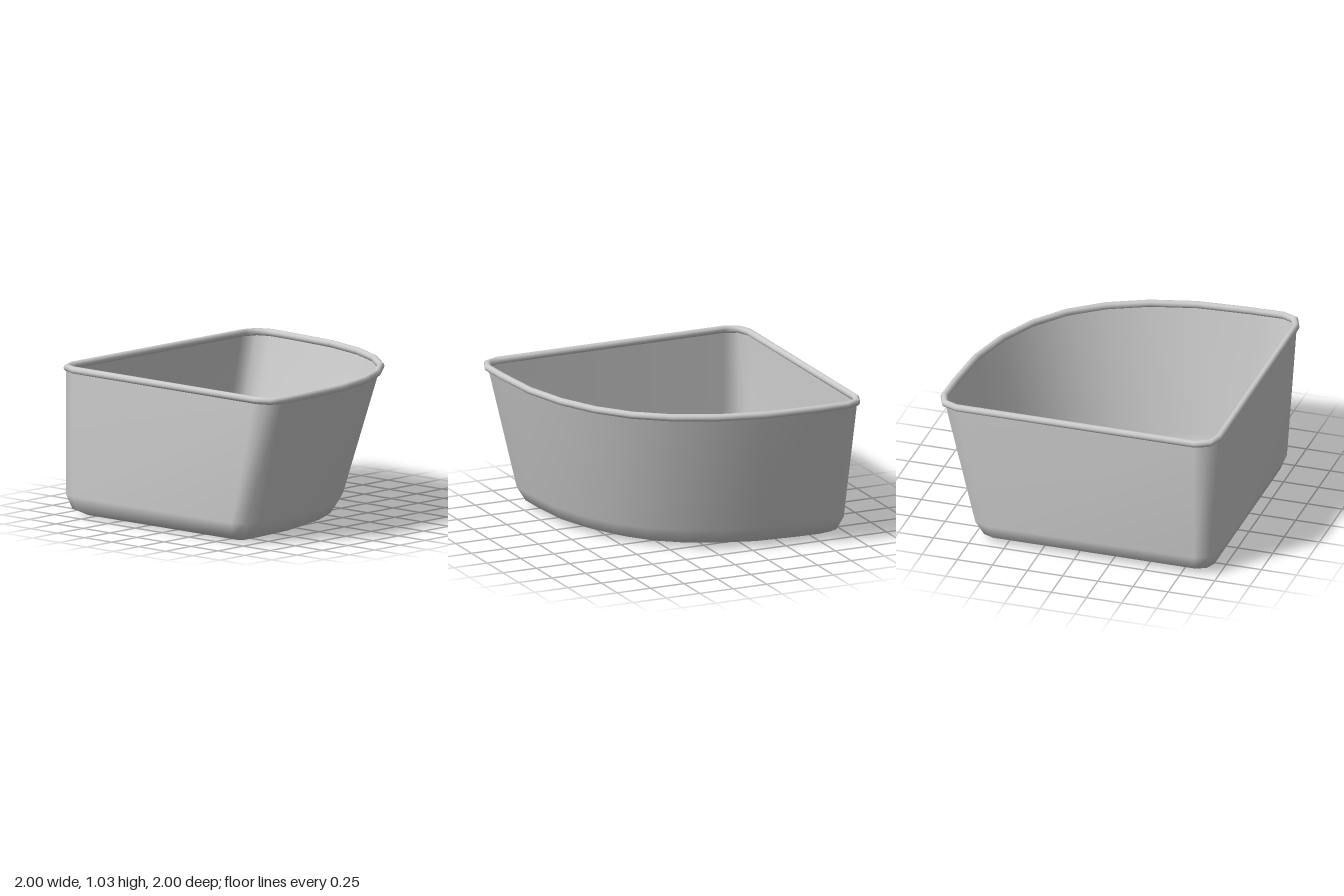
import * as THREE from 'three';

const material = new THREE.MeshStandardMaterial({ color: 0xcccccc, side: THREE.DoubleSide });

// Quarter-round outline as [x, z]: one half, then its mirror across the x = z diagonal
const half = [
  [-0.956, -0.956], [-0.85, -1], [0.85, -1], [0.956, -0.956], [1, -0.85],
  [0.995, -0.62], [0.967, -0.24], [0.885, 0.08], [0.755, 0.355], [0.58, 0.58],
];
const outline = [...half, ...half.slice(1, -1).reverse().map(([x, z]) => [z, x])];

// Pull the curved side towards the square corner while keeping corner radii
const pull = (v, taper) => v - taper * THREE.MathUtils.clamp((v + 0.85) / 1.7, 0, 1);

// Outline tapered, then inset with mitred corners, at height y
function ring({ y, taper = 0, inset }) {
  const pts = outline.map(([x, z]) => new THREE.Vector2(pull(x, taper), pull(z, taper)));
  const n = pts.length;
  const inward = (a, b) => {
    const t = b.clone().sub(a).normalize();
    return new THREE.Vector2(-t.y, t.x);
  };
  return pts.map((p, i) => {
    const n1 = inward(pts[(i + n - 1) % n], p);
    const n2 = inward(p, pts[(i + 1) % n]);
    const m = n1.clone().add(n2).normalize();
    const q = p.clone().addScaledVector(m, inset / m.dot(n1));
    return [q.x, y, q.y];
  });
}

// Skin a stack of rings; optionally join last to first, or fill the first as a floor
function loft(name, sections, { closed = false, floor = false }) {
  const n = outline.length;
  const positions = sections.flatMap((s) => ring(s).flat());
  const index = [];
  const spans = closed ? sections.length : sections.length - 1;
  for (let i = 0; i < spans; i++) {
    const lo = i * n, hi = ((i + 1) % sections.length) * n;
    for (let j = 0; j < n; j++) {
      const k = (j + 1) % n;
      index.push(lo + j, hi + j, lo + k, lo + k, hi + j, hi + k);
    }
  }
  if (floor) {
    const centre = positions.length / 3;
    positions.push(-0.15, sections[0].y, -0.15);
    for (let j = 0; j < n; j++) index.push(centre, j, (j + 1) % n);
  }
  const geometry = new THREE.BufferGeometry();
  geometry.setAttribute('position', new THREE.Float32BufferAttribute(positions, 3));
  geometry.setIndex(index);
  geometry.computeVertexNormals();
  const mesh = new THREE.Mesh(geometry, material);
  mesh.name = name;
  return mesh;
}

export function createModel() {
  const group = new THREE.Group();
  group.name = 'cornerTub';

  // Thin-walled basin: floor, rounded lower edge, sloping curved front
  group.add(loft('basin', [
    { y: 0, taper: 0.26, inset: 0.145 },
    { y: 0.04, taper: 0.245, inset: 0.055 },
    { y: 0.14, taper: 0.222, inset: 0.016 },
    { y: 1.01, taper: 0.008, inset: 0.016 },
  ], { floor: true }));

  // Rolled rim: a round section swept along the outline
  const sides = 10;
  const rim = Array.from({ length: sides }, (_, i) => {
    const a = (i / sides) * Math.PI * 2;
    return { y: 1.01 + 0.025 * Math.sin(a), inset: 0.024 - 0.024 * Math.cos(a) };
  });
  group.add(loft('rim', rim, { closed: true }));

  return group;
}
